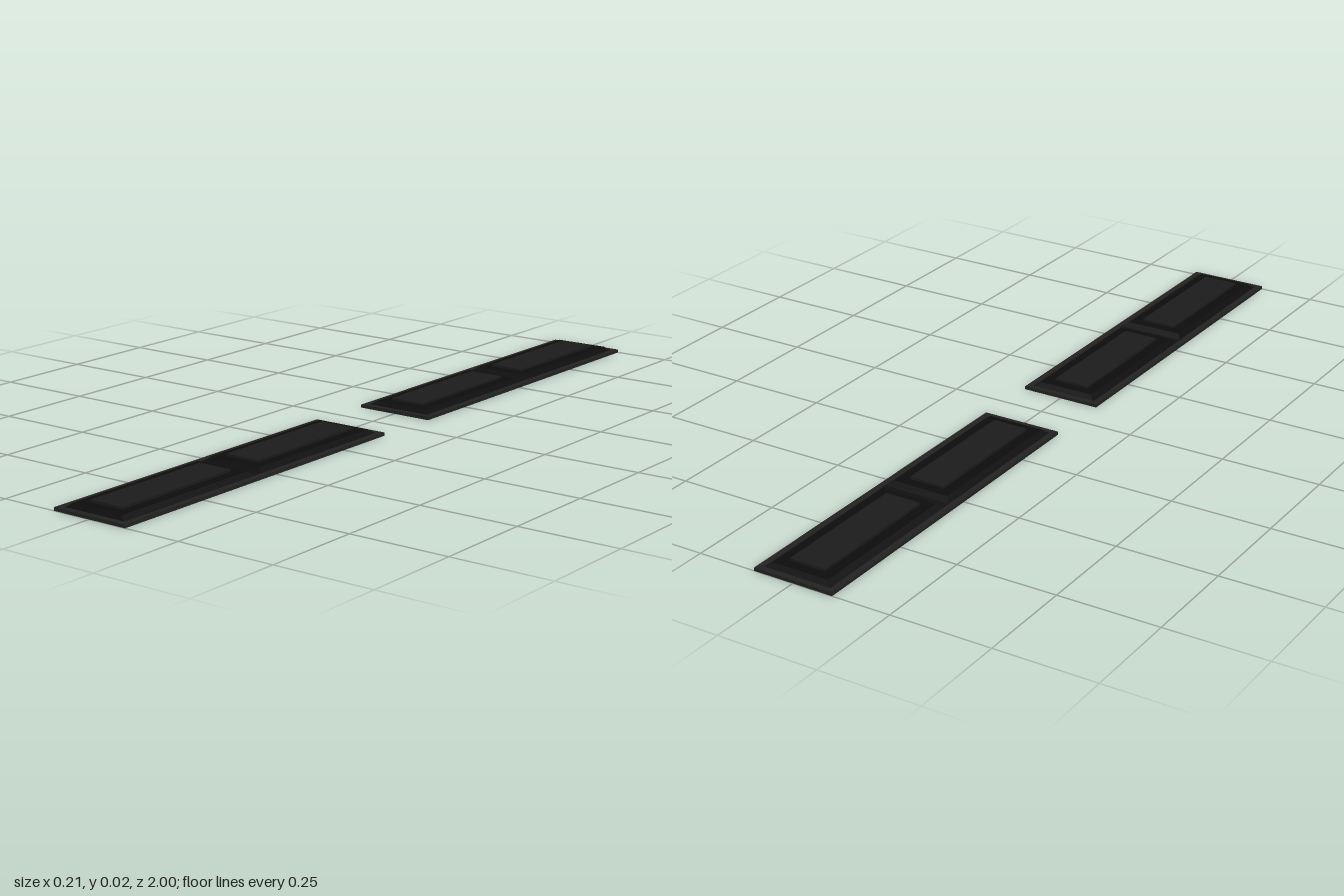
import * as THREE from 'three';

const mat = (color) => new THREE.MeshStandardMaterial({ color, flatShading: true });

function addBox(parent, name, material, [w, h, d], [x, y, z]) {
  const mesh = new THREE.Mesh(new THREE.BoxGeometry(w, h, d), material);
  mesh.name = name;
  mesh.position.set(x, y, z);
  parent.add(mesh);
  return mesh;
}

// Box whose upper face is pulled in by an inset to bevel all four sides
function bevelledBlock(w, h, d, inset) {
  const geometry = new THREE.BoxGeometry(w, h, d);
  const p = geometry.attributes.position;
  for (let i = 0; i < p.count; i++) {
    if (p.getY(i) > 0) {
      p.setX(i, p.getX(i) - Math.sign(p.getX(i)) * inset);
      p.setZ(i, p.getZ(i) - Math.sign(p.getZ(i)) * inset);
    }
  }
  geometry.computeVertexNormals();
  return geometry;
}

export function createModel() {
  const model = new THREE.Group();
  model.name = 'panelStrips';
  const baseMat = mat(0x111111);
  const rimMat = mat(0x222222);
  const blockMat = mat(0x0c0c0c);
  const padMat = mat(0x1b1b1b);

  const width = 0.206, length = 0.91, rim = 0.015, rimHeight = 0.008;

  for (const side of [1, -1]) {
    const strip = new THREE.Group();
    strip.name = side > 0 ? 'frontStrip' : 'backStrip';
    strip.position.z = side * 0.545;
    model.add(strip);

    // Thin base plate with a raised rim
    addBox(strip, 'basePlate', baseMat, [width - 2 * rim, 0.006, length - 2 * rim], [0, 0.003, 0]);
    for (const s of [1, -1]) {
      addBox(strip, 'sideRim', rimMat, [rim, rimHeight, length], [s * (width - rim) / 2, rimHeight / 2, 0]);
      addBox(strip, 'endRim', rimMat, [width - 2 * rim, rimHeight, rim], [0, rimHeight / 2, s * (length - rim) / 2]);
    }

    // Two bevelled panels, each with a raised centre pad
    for (const s of [1, -1]) {
      const panel = new THREE.Group();
      panel.name = 'panel';
      panel.position.z = s * 0.225;
      strip.add(panel);
      const block = new THREE.Mesh(bevelledBlock(0.17, 0.011, 0.43, 0.012), blockMat);
      block.name = 'bevelledBlock';
      block.position.y = 0.0115;
      panel.add(block);
      addBox(panel, 'centrePad', padMat, [0.092, 0.006, 0.356], [0, 0.02, 0]);
    }
  }
  return model;
}
